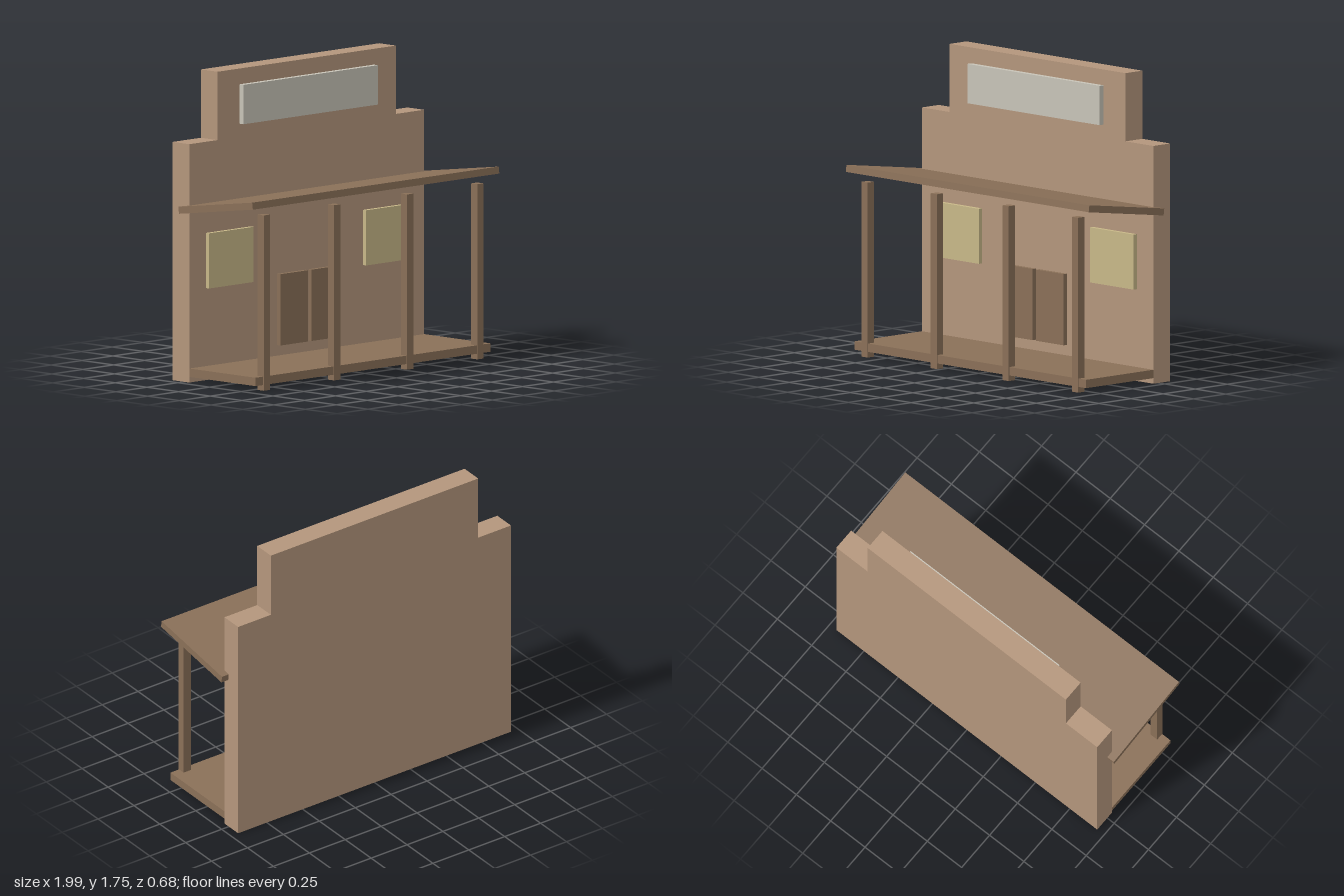
import * as THREE from 'three';

const material = (name, color) => {
  const m = new THREE.MeshStandardMaterial({ color });
  m.name = name;
  return m;
};

export function createModel() {
  const model = new THREE.Group();
  model.name = 'falseFrontBuilding';
  const wall = material('tan wall', 0xb4967c);
  const wood = material('brown wood', 0x8a7058);
  const glass = material('pale yellow pane', 0xc8b888);
  const board = material('pale grey board', 0xc8c4b8);

  // Box given by its min and max corners
  function box(name, mat, [x0, y0, z0], [x1, y1, z1]) {
    const mesh = new THREE.Mesh(new THREE.BoxGeometry(x1 - x0, y1 - y0, z1 - z0), mat);
    mesh.position.set((x0 + x1) / 2, (y0 + y1) / 2, (z0 + z1) / 2);
    mesh.name = name;
    model.add(mesh);
    return mesh;
  }

  const back = -0.34, face = -0.208;

  // Stepped facade
  const outline = [[-0.95, 0], [0.95, 0], [0.95, 1.36], [0.722, 1.36],
    [0.722, 1.75], [-0.722, 1.75], [-0.722, 1.36], [-0.95, 1.36]];
  const shape = new THREE.Shape(outline.map(([x, y]) => new THREE.Vector2(x, y)));
  const facade = new THREE.Mesh(
    new THREE.ExtrudeGeometry(shape, { depth: face - back, bevelEnabled: false }), wall);
  facade.position.z = back;
  facade.name = 'facade';
  model.add(facade);

  // Blank board high on the facade
  box('signBoard', board, [-0.543, 1.435, face], [0.543, 1.66, -0.176]);

  // Porch floor
  box('porchDeck', wood, [-0.95, 0.032, face], [0.95, 0.08, 0.315]);

  // Windows, doors and posts, mirrored about x = 0
  for (const [side, s] of [['left', 1], ['right', -1]]) {
    const mirrored = (name, mat, xa, xb, y0, y1, z0, z1) =>
      box(side + name, mat, [Math.min(s * xa, s * xb), y0, z0], [Math.max(s * xa, s * xb), y1, z1]);
    mirrored('Window', glass, 0.455, 0.815, 0.525, 0.84, face, -0.183);
    mirrored('Door', wood, 0.014, 0.24, 0.14, 0.547, face, -0.183);
    mirrored('InnerPost', wood, 0.27, 0.32, 0, 1, 0.271, 0.32);
    mirrored('OuterPost', wood, 0.839, 0.889, 0, 1, 0.271, 0.32);
  }

  // Awning, sloping down towards the facade
  const awning = box('awning', wood, [-0.997, -0.02, -0.2945], [0.997, 0.02, 0.2945]);
  awning.position.set(0, 1.025, 0.045);
  awning.rotation.x = -0.14;

  return model;
}
